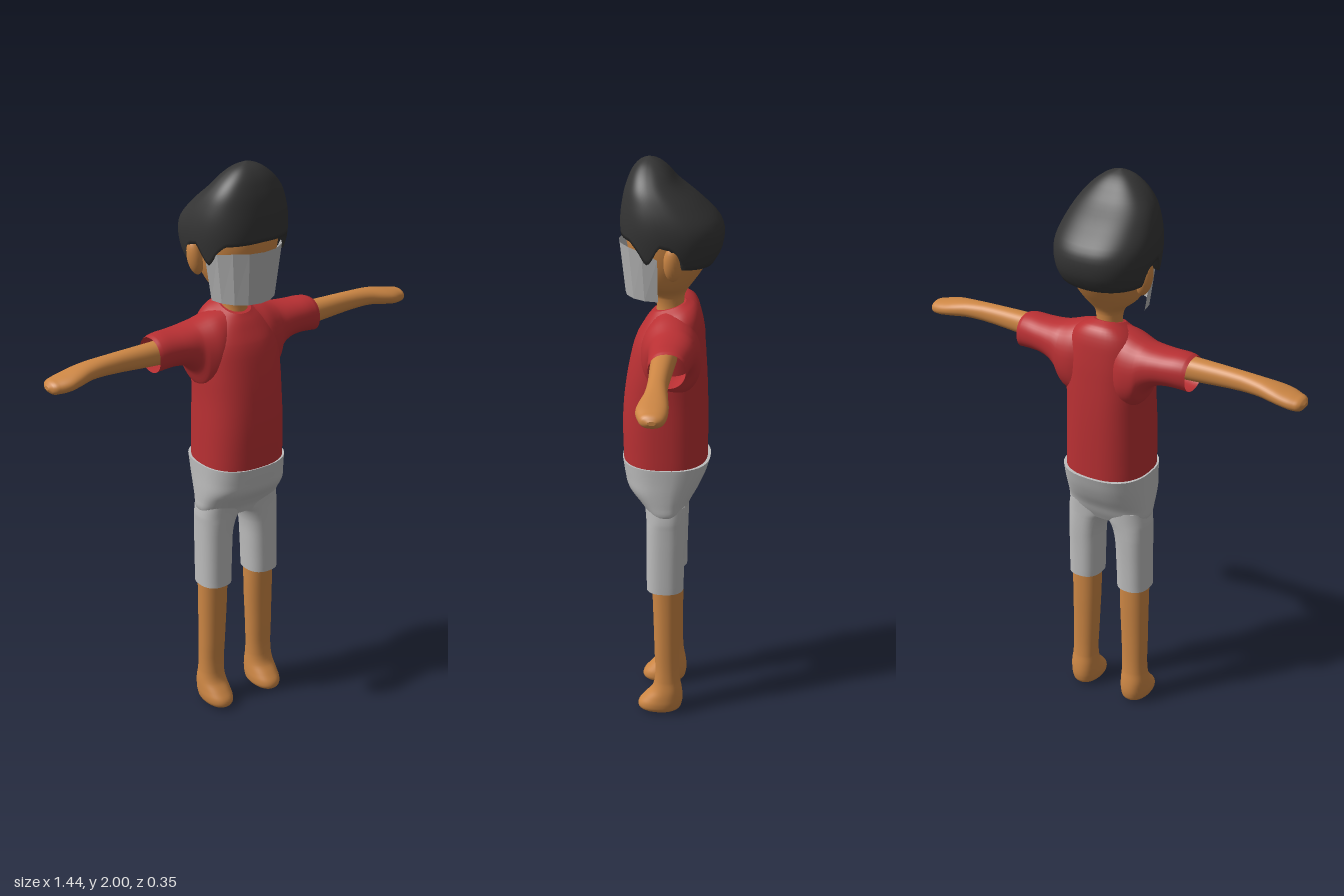
import * as THREE from 'three';

const mat = (name, color, side = THREE.FrontSide) => {
  const m = new THREE.MeshStandardMaterial({ color, side });
  m.name = name;
  return m;
};

// Closed tube of rows x cols points, fn(row, angle) -> [x, y, z]
function tube(rows, cols, fn, capStart, capEnd) {
  const pos = [], index = [];
  for (let i = 0; i < rows; i++)
    for (let j = 0; j < cols; j++) pos.push(...fn(i, (j / cols) * Math.PI * 2));
  for (let i = 0; i < rows - 1; i++)
    for (let j = 0; j < cols; j++) {
      const k = (j + 1) % cols, a = i * cols, b = a + cols;
      index.push(a + j, a + k, b + k, a + j, b + k, b + j);
    }
  const cap = (row, flip) => {
    const start = pos.length / 3, c = [0, 0, 0];
    for (let j = 0; j < cols; j++)
      for (let n = 0; n < 3; n++) {
        const p = pos[(row * cols + j) * 3 + n];
        pos.push(p);
        c[n] += p / cols;
      }
    pos.push(...c);
    for (let j = 0; j < cols; j++) {
      const a = start + j, b = start + (j + 1) % cols;
      index.push(...(flip ? [b, a, start + cols] : [a, b, start + cols]));
    }
  };
  if (capStart) cap(0, true);
  if (capEnd) cap(rows - 1, false);
  const g = new THREE.BufferGeometry();
  g.setAttribute('position', new THREE.Float32BufferAttribute(pos, 3));
  g.setIndex(index);
  g.computeVertexNormals();
  return g;
}

// Smooth lookup in a list of sections [height, xMin, xMax, zBack, zFront]
function sampler(keys) {
  const c = new THREE.CubicInterpolant(keys.map(k => k[0]), keys.flatMap(k => k.slice(1)), 4, new Float32Array(4));
  return y => Array.from(c.evaluate(y));
}

// Point on a rounded-square section
function ring([x0, x1, z0, z1], a, n) {
  const f = v => Math.sign(v) * Math.abs(v) ** (2 / n);
  return [(x0 + x1) / 2 + (x1 - x0) / 2 * f(Math.sin(a)), (z0 + z1) / 2 + (z1 - z0) / 2 * f(Math.cos(a))];
}

function loft(keys, { n = 2.2, caps = [true, true], cols = 40, sub = 4 } = {}) {
  const at = sampler(keys), ys = [];
  keys.forEach((k, i) => {
    if (i) for (let s = 1; s <= sub; s++) ys.push(THREE.MathUtils.lerp(keys[i - 1][0], k[0], s / sub));
    else ys.push(k[0]);
  });
  const sections = ys.map(at);
  return tube(ys.length, cols, (i, a) => {
    const [x, z] = ring(sections[i], a, n);
    return [x, ys[i], z];
  }, ...caps);
}

// Loft along x; keys are [x, yLow, yHigh, zBack, zFront]
const sideLoft = (keys, opt) =>
  loft(keys.map(([x, lo, hi, b, f]) => [x, -hi, -lo, b, f]), opt).rotateZ(-Math.PI / 2);

function mirrored(g) {
  const m = g.clone().scale(-1, 1, 1), idx = m.index.array;
  for (let i = 0; i < idx.length; i += 3) [idx[i], idx[i + 1]] = [idx[i + 1], idx[i]];
  return m;
}

// Symmetric section list from [y, halfWidth, zBack, zFront]
const sym = keys => keys.map(([y, r, b, f]) => [y, -r, r, b, f]);

export function createModel() {
  const model = new THREE.Group();
  model.name = 'person';
  const skin = mat('skin', 0xcc8644), red = mat('shirt red', 0xb93033, THREE.DoubleSide);
  const grey = mat('shorts grey', 0xbdbdbd), black = mat('hair black', 0x343434, THREE.DoubleSide);
  const cloth = mat('mask grey', 0xb4b4b4, THREE.DoubleSide);
  const add = (name, g, m) => {
    const mesh = new THREE.Mesh(g, m);
    mesh.name = name;
    model.add(mesh);
    return mesh;
  };
  const pair = (name, g, m) => {
    add(name + 'Left', g, m);
    add(name + 'Right', mirrored(g), m);
  };

  // Bare legs and feet
  pair('leg', loft([
    [0, 0.075, 0.135, -0.02, 0.09], [0.012, 0.058, 0.15, -0.037, 0.107], [0.035, 0.052, 0.157, -0.046, 0.108],
    [0.06, 0.053, 0.157, -0.048, 0.088], [0.09, 0.056, 0.155, -0.045, 0.062], [0.13, 0.059, 0.15, -0.038, 0.051],
    [0.25, 0.055, 0.149, -0.035, 0.052], [0.4, 0.048, 0.15, -0.037, 0.056], [0.52, 0.046, 0.151, -0.038, 0.06],
  ]), skin);

  // Shorts: hips and two legs
  add('shortsHips', loft(sym([
    [0.755, 0.135, -0.045, 0.07], [0.785, 0.155, -0.06, 0.083], [0.82, 0.157, -0.075, 0.11],
    [0.865, 0.157, -0.1, 0.146], [0.91, 0.156, -0.12, 0.157], [0.96, 0.156, -0.136, 0.165],
  ]), { n: 2.5 }), grey);
  pair('shortsLeg', loft([
    [0.49, 0.04, 0.157, -0.05, 0.078], [0.6, 0.036, 0.157, -0.052, 0.078], [0.69, 0.03, 0.157, -0.055, 0.078],
    [0.735, 0.016, 0.157, -0.056, 0.079], [0.76, 0.0, 0.157, -0.057, 0.08], [0.81, 0.0, 0.15, -0.06, 0.085],
  ], { n: 2.4 }), grey);

  // Shirt body, with a collar that dips at the front
  const body = loft(sym([
    [0.955, 0.15, -0.126, 0.161], [1.1, 0.148, -0.126, 0.163], [1.2, 0.146, -0.124, 0.156],
    [1.3, 0.147, -0.119, 0.14], [1.4, 0.14, -0.111, 0.115], [1.45, 0.118, -0.1, 0.095],
    [1.48, 0.085, -0.08, 0.078], [1.5, 0.05, -0.05, 0.06],
  ]), { n: 2.4 });
  const p = body.attributes.position;
  for (let i = 0; i < p.count; i++) {
    const y = p.getY(i);
    p.setY(i, y - 0.3 * p.getZ(i) * THREE.MathUtils.smoothstep(y, 1.36, 1.5));
  }
  body.computeVertexNormals();
  add('shirtBody', body, red);

  // Open sleeves flaring into the armpit
  pair('sleeve', sideLoft([
    [0.06, 1.2, 1.492, -0.1, 0.09], [0.1, 1.215, 1.482, -0.108, 0.095], [0.145, 1.245, 1.468, -0.105, 0.08],
    [0.165, 1.29, 1.463, -0.1, 0.068], [0.195, 1.32, 1.458, -0.094, 0.062], [0.24, 1.334, 1.455, -0.086, 0.057],
    [0.31, 1.332, 1.453, -0.074, 0.053], [0.325, 1.33, 1.447, -0.07, 0.051],
  ], { caps: [true, false] }), red);

  // Arms with simple mitten hands
  pair('arm', sideLoft([
    [0.22, 1.355, 1.44, -0.036, 0.046], [0.33, 1.36, 1.438, -0.031, 0.044], [0.5, 1.371, 1.434, -0.027, 0.039],
    [0.57, 1.371, 1.429, -0.033, 0.044], [0.62, 1.364, 1.421, -0.039, 0.056], [0.655, 1.359, 1.413, -0.04, 0.06],
    [0.69, 1.356, 1.405, -0.036, 0.05], [0.712, 1.36, 1.398, -0.026, 0.038], [0.722, 1.373, 1.386, -0.008, 0.018],
  ]), skin);

  // Neck and head
  add('head', loft(sym([
    [1.46, 0.045, -0.045, 0.05], [1.53, 0.045, -0.044, 0.052], [1.55, 0.055, -0.05, 0.066],
    [1.58, 0.09, -0.07, 0.1], [1.62, 0.113, -0.098, 0.12], [1.67, 0.13, -0.125, 0.134],
    [1.74, 0.14, -0.14, 0.147], [1.8, 0.138, -0.13, 0.14], [1.85, 0.105, -0.085, 0.12], [1.88, 0.06, -0.03, 0.08],
  ]), { n: 2.1 }), skin);
  pair('ear', new THREE.SphereGeometry(1, 20, 14).scale(0.026, 0.062, 0.03).rotateZ(-0.18).translate(0.142, 1.685, -0.015), skin);

  // Hair cap: peaked quiff, sideburns and low nape
  const hairAt = sampler(sym([
    [1.65, 0.148, -0.135, 0.15], [1.71, 0.163, -0.168, 0.158], [1.79, 0.168, -0.166, 0.165],
    [1.86, 0.151, -0.1, 0.158], [1.92, 0.12, -0.028, 0.143], [1.97, 0.07, 0.015, 0.118],
    [1.99, 0.036, 0.042, 0.096], [2, 0.004, 0.066, 0.074],
  ]));
  const edge = [[0, 1.757], [0.75, 1.752], [0.95, 1.725], [1.14, 1.682], [1.22, 1.68], [1.42, 1.745],
    [1.6, 1.735], [1.82, 1.667], [Math.PI, 1.657]];
  const hairline = a => {
    const t = Math.min(a, Math.PI * 2 - a);
    const i = Math.max(1, edge.findIndex(e => t <= e[0] + 1e-6));
    return THREE.MathUtils.mapLinear(t, edge[i - 1][0], edge[i][0], edge[i - 1][1], edge[i][1]);
  };
  const hairRows = 28;
  add('hair', tube(hairRows, 96, (i, a) => {
    const v = Math.max(0, i - 1) / (hairRows - 2);
    const y = THREE.MathUtils.lerp(hairline(a), 2, 1 - (1 - v) ** 1.4);
    const [x, z] = ring(hairAt(y), a, 2.4);
    return i ? [x, y, z] : [x * 0.8, y + 0.012, z * 0.8];
  }, false, true), black);

  // Face mask: faceted open band, narrower at the chin
  const mask = new THREE.CylinderGeometry(1, 0.82, 0.18, 8, 1, true, -Math.PI / 2, Math.PI).toNonIndexed();
  const q = mask.attributes.position;
  for (let i = 0; i < q.count; i++) {
    const x = q.getX(i), z = q.getZ(i), top = q.getY(i) > 0;
    q.setXYZ(i, x * 0.138, (top ? 1.725 - 0.03 * (1 - Math.min(1, z * 2)) : 1.545), 0.035 + z * (top ? 0.136 : 0.142));
  }
  mask.computeVertexNormals();
  add('faceMask', mask, cloth);

  return model;
}
